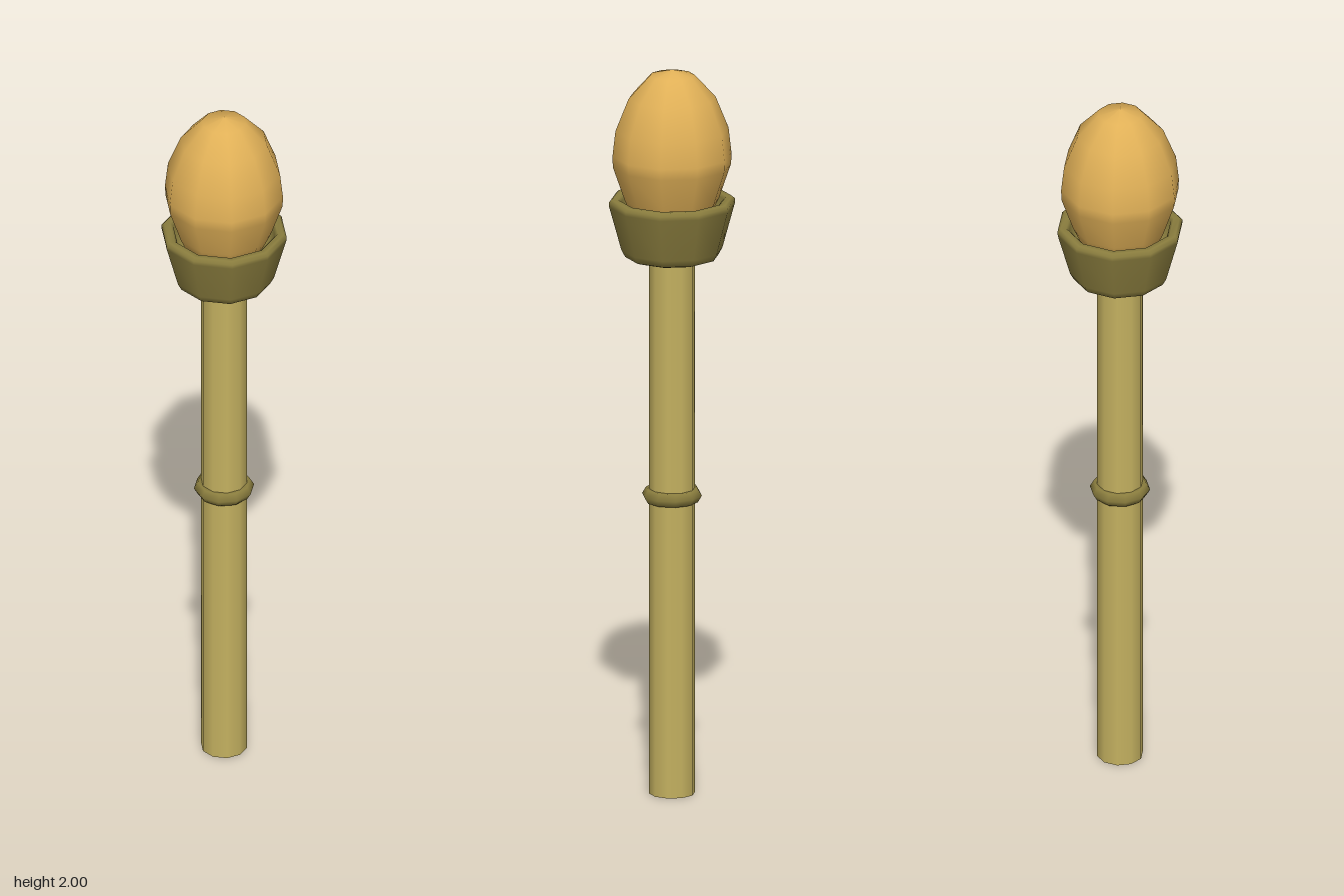
import * as THREE from 'three';

const SIDES = 10;

// Smooth ten-sided turned part from [radius, y] pairs, listed bottom to top
function turned(name, points, material) {
  const profile = points.map(([r, y]) => new THREE.Vector2(r, y));
  const mesh = new THREE.Mesh(new THREE.LatheGeometry(profile, SIDES), material);
  mesh.name = name;
  return mesh;
}

export function createModel() {
  const group = new THREE.Group();
  group.name = 'finialPost';

  const mat = (name, color) => {
    const m = new THREE.MeshStandardMaterial({ color });
    m.name = name;
    return m;
  };
  const poleMat = mat('paleOlive', 0xc4b160);
  const cupMat = mat('darkOlive', 0x8a7d3e);
  const bulbMat = mat('amber', 0xe0b057);

  // Straight pole
  const pole = new THREE.Mesh(new THREE.CylinderGeometry(0.062, 0.062, 1.5, SIDES), poleMat);
  pole.name = 'pole';
  pole.position.y = 0.75;
  group.add(pole);

  // Thin collar around the pole
  const collar = new THREE.Mesh(new THREE.TorusGeometry(0.06, 0.021, 6, SIDES), cupMat);
  collar.name = 'collar';
  collar.rotation.x = -Math.PI / 2;
  collar.position.y = 0.825;
  group.add(collar);

  // Flared cup with rounded base and lip
  group.add(turned('cup', [
    [0, 1.48], [0.108, 1.48], [0.126, 1.486], [0.136, 1.505],
    [0.169, 1.625], [0.17, 1.637], [0.162, 1.645],
    [0.146, 1.645], [0.138, 1.637], [0.122, 1.57], [0, 1.57],
  ], cupMat));

  // Egg-shaped bulb resting in the cup
  group.add(turned('bulb', [
    [0, 1.54], [0.06, 1.555], [0.105, 1.595], [0.127, 1.642], [0.159, 1.735],
    [0.16, 1.765], [0.152, 1.835], [0.117, 1.922], [0.06, 1.984], [0, 2],
  ], bulbMat));

  return group;
}
